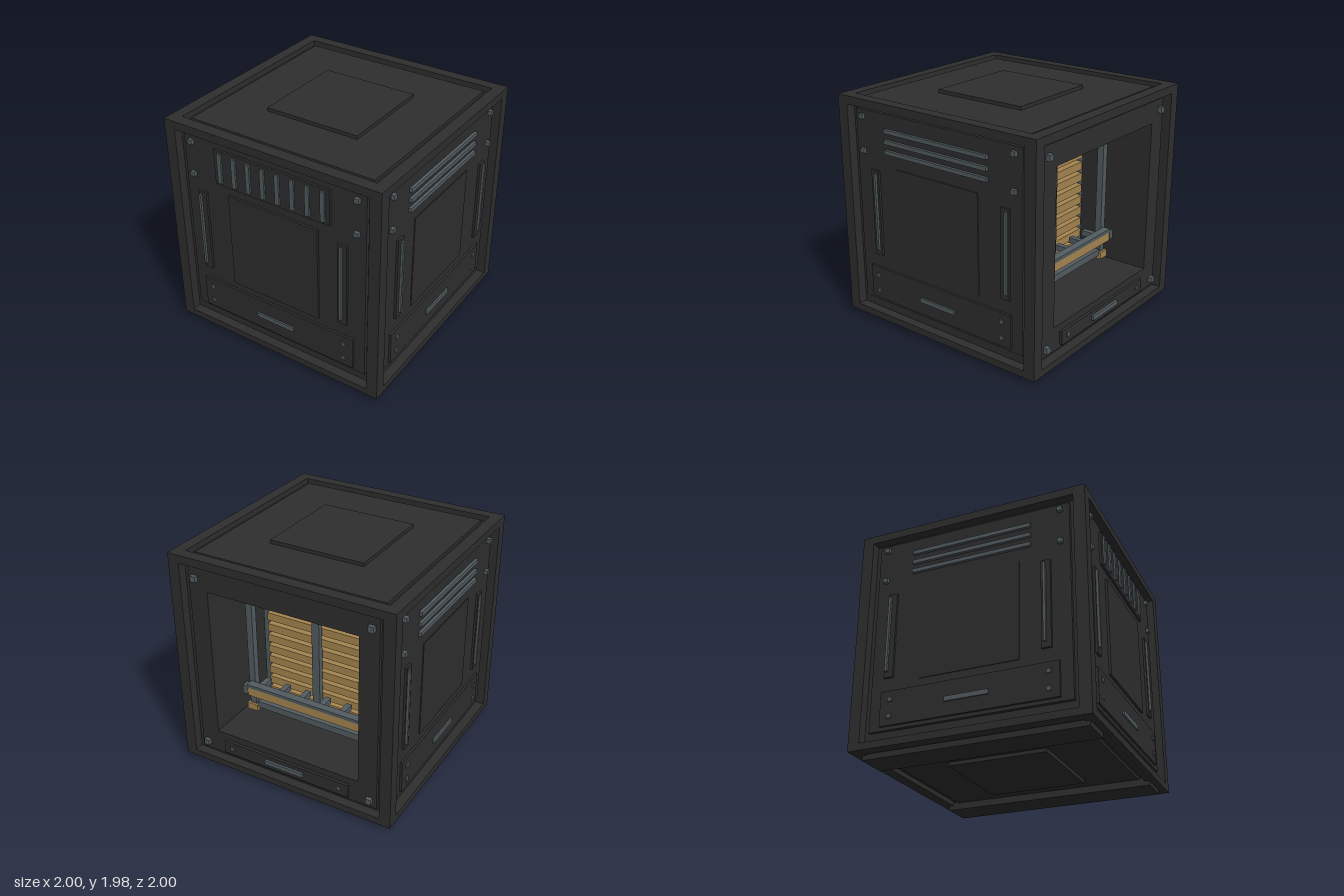
import * as THREE from 'three';

const mat = (name, color) => {
  const m = new THREE.MeshStandardMaterial({ color });
  m.name = name;
  return m;
};

export function createModel() {
  const dark = mat('charcoal casing', 0x2e2e2e);
  const steel = mat('grey steel', 0x525c60);
  const tan = mat('tan brass', 0xa58450);
  const model = new THREE.Group();
  model.name = 'machineBlock';

  // box given by its bounds on each axis
  const box = (parent, name, m, [x0, x1], [y0, y1], [z0, z1]) => {
    const mesh = new THREE.Mesh(new THREE.BoxGeometry(x1 - x0, y1 - y0, z1 - z0), m);
    mesh.position.set((x0 + x1) / 2, (y0 + y1) / 2, (z0 + z1) / 2);
    mesh.name = name;
    parent.add(mesh);
    return mesh;
  };
  const mid = (c, size) => [c - size / 2, c + size / 2];
  const group = (name, ry = 0) => {
    const g = new THREE.Group();
    g.name = name;
    g.rotation.y = ry;
    model.add(g);
    return g;
  };
  // rectangular slab with the rear opening cut through it
  const openSlab = (parent, name, w, y0, y1, z0, z1) => {
    const s = new THREE.Shape([[-w, y0], [w, y0], [w, y1], [-w, y1]].map(p => new THREE.Vector2(...p)));
    s.holes.push(new THREE.Path([[-0.68, 0.35], [-0.68, 1.68], [0.68, 1.68], [0.68, 0.35]].map(p => new THREE.Vector2(...p))));
    const mesh = new THREE.Mesh(new THREE.ExtrudeGeometry(s, { depth: z1 - z0, bevelEnabled: false }), dark);
    mesh.position.z = z0;
    mesh.name = name;
    parent.add(mesh);
  };

  // outer edge frame
  const frame = group('edgeFrame');
  for (const a of [-0.95, 0.95]) {
    for (const b of [-0.95, 0.95]) box(frame, 'cornerPost', dark, mid(a, 0.1), [0.04, 1.97], mid(b, 0.1));
    for (const y of [[0.04, 0.1], [1.9, 1.97]]) {
      box(frame, 'crossBeam', dark, [-0.9, 0.9], y, mid(a, 0.1));
      box(frame, 'sideBeam', dark, mid(a, 0.1), y, [-0.9, 0.9]);
    }
  }

  // core, hollow toward the back
  const core = group('core');
  box(core, 'solidCore', dark, [-0.92, 0.92], [0.08, 1.92], [-0.2, 0.92]);
  openSlab(core, 'cavityWalls', 0.92, 0.08, 1.92, -0.92, -0.2);

  // top and bottom plates, skids
  box(model, 'topPanel', dark, [-0.85, 0.85], [1.91, 1.95], [-0.85, 0.85]);
  box(model, 'topPlate', dark, [-0.425, 0.425], [1.94, 1.98], [-0.425, 0.425]);
  box(model, 'bottomPanel', dark, [-0.85, 0.85], [0.06, 0.1], [-0.85, 0.85]);
  box(model, 'bottomPlate', dark, [-0.425, 0.425], [0.03, 0.07], [-0.425, 0.425]);
  for (const s of [-1, 1]) box(model, 'skid', dark, mid(s * 0.74, 0.28), [0, 0.07], [-0.94, 0.94]);

  // details shared by the front and both sides, built facing +z
  const face = (name, ry, handles, plateDepth) => {
    const g = group(name, ry);
    box(g, 'panel', dark, [-0.85, 0.85], [0.19, 1.87], [0.9, 0.95]);
    box(g, 'centrePlate', dark, [-0.425, 0.425], [0.58, 1.43], [0.94, plateDepth]);
    box(g, 'lowerBox', dark, [-0.75, 0.75], [0.22, 0.51], [0.94, 0.97]);
    box(g, 'lowerBar', steel, [-0.185, 0.185], [0.335, 0.375], [0.96, 0.985]);
    for (const s of [-1, 1]) {
      for (const y of [1.525, 1.815]) box(g, 'bolt', steel, mid(s * 0.775, 0.042), mid(y, 0.04), [0.94, 0.98]);
      for (const y of [0.295, 0.435]) box(g, 'smallBolt', steel, mid(s * 0.665, 0.038), mid(y, 0.036), [0.96, 0.98]);
    }
    for (const [base, bar] of handles) {
      box(g, 'handleBase', dark, mid(base, 0.08), [0.63, 1.38], [0.94, 0.97]);
      box(g, 'handleBar', steel, mid(bar, 0.022), [0.68, 1.355], [0.96, 0.99]);
    }
    return g;
  };
  const near = [[-0.695, -0.712], [0.65, 0.642]];
  const far = [[-0.65, -0.642], [0.695, 0.712]];

  const front = face('frontFace', 0, near, 0.97);
  box(front, 'ventBox', dark, [-0.54, 0.54], [1.51, 1.82], [0.94, 0.97]);
  for (let i = 0; i < 8; i++) box(front, 'ventSlat', steel, mid(-0.482 + i * 0.138, 0.038), [1.535, 1.795], [0.96, 0.985]);

  for (const [name, ry, handles] of [['leftFace', Math.PI / 2, far], ['rightFace', -Math.PI / 2, near]]) {
    const g = face(name, ry, handles, 0.957);
    for (const y of [1.56, 1.645, 1.735]) box(g, 'sideVent', steel, [-0.525, 0.525], mid(y, 0.034), [0.94, 0.975]);
  }

  // back face around the opening
  const back = group('backFace');
  openSlab(back, 'backPanel', 0.85, 0.14, 1.87, -0.95, -0.9);
  box(back, 'lowerBox', dark, [-0.6, 0.6], [0.17, 0.29], [-0.975, -0.9]);
  box(back, 'lowerBar', steel, [-0.185, 0.185], [0.215, 0.255], [-0.995, -0.96]);
  for (const s of [-1, 1]) {
    for (const y of [0.21, 1.78]) box(back, 'bolt', steel, mid(s * 0.79, 0.05), mid(y, 0.05), [-0.985, -0.94]);
    box(back, 'smallBolt', steel, mid(s * 0.52, 0.036), mid(0.235, 0.036), [-0.985, -0.96]);
  }

  // inner steel rack with tan slats
  const rack = group('innerRack');
  for (const s of [-1, 1]) {
    box(rack, 'rackPost', steel, mid(s * 0.565, 0.06), [0.44, 1.56], mid(-0.55, 0.06));
    for (const y of [0.43, 1.55]) box(rack, 'cornerBlock', tan, mid(s * 0.565, 0.1), mid(y, 0.06), mid(-0.55, 0.1));
    box(rack, 'innerPost', steel, mid(s * 0.55, 0.06), [0.36, 1.5], mid(-0.31, 0.06));
    box(rack, 'innerPostCap', steel, mid(s * 0.55, 0.1), mid(1.48, 0.08), mid(-0.31, 0.1));
    box(rack, 'railEnd', steel, mid(s * 0.59, 0.05), mid(0.63, 0.08), mid(-0.62, 0.07));
  }
  for (const y of [0.46, 1.58]) box(rack, 'rackBeam', steel, [-0.52, 0.52], mid(y, 0.06), mid(-0.55, 0.06));
  box(rack, 'rail', tan, [-0.57, 0.57], [0.58, 0.66], mid(-0.62, 0.06));
  box(rack, 'railCap', steel, [-0.57, 0.57], [0.66, 0.69], mid(-0.62, 0.07));
  box(rack, 'centreBar', steel, mid(0, 0.07), [0.46, 1.56], mid(-0.43, 0.05));
  box(rack, 'topHousing', dark, [-0.26, 0.26], [1.51, 1.62], mid(-0.44, 0.12));
  box(rack, 'topHousingBar', steel, [-0.16, 0.16], [1.49, 1.52], mid(-0.45, 0.05));
  for (let i = 0; i < 6; i++) box(rack, 'railTooth', steel, mid(-0.5 + i * 0.2, 0.05), mid(0.62, 0.05), [-0.6, -0.42]);
  for (let i = 0; i < 11; i++) box(rack, 'slat', tan, [-0.52, 0.52], mid(0.5 + i * 0.105, 0.07), mid(-0.33, 0.09));

  return model;
}
